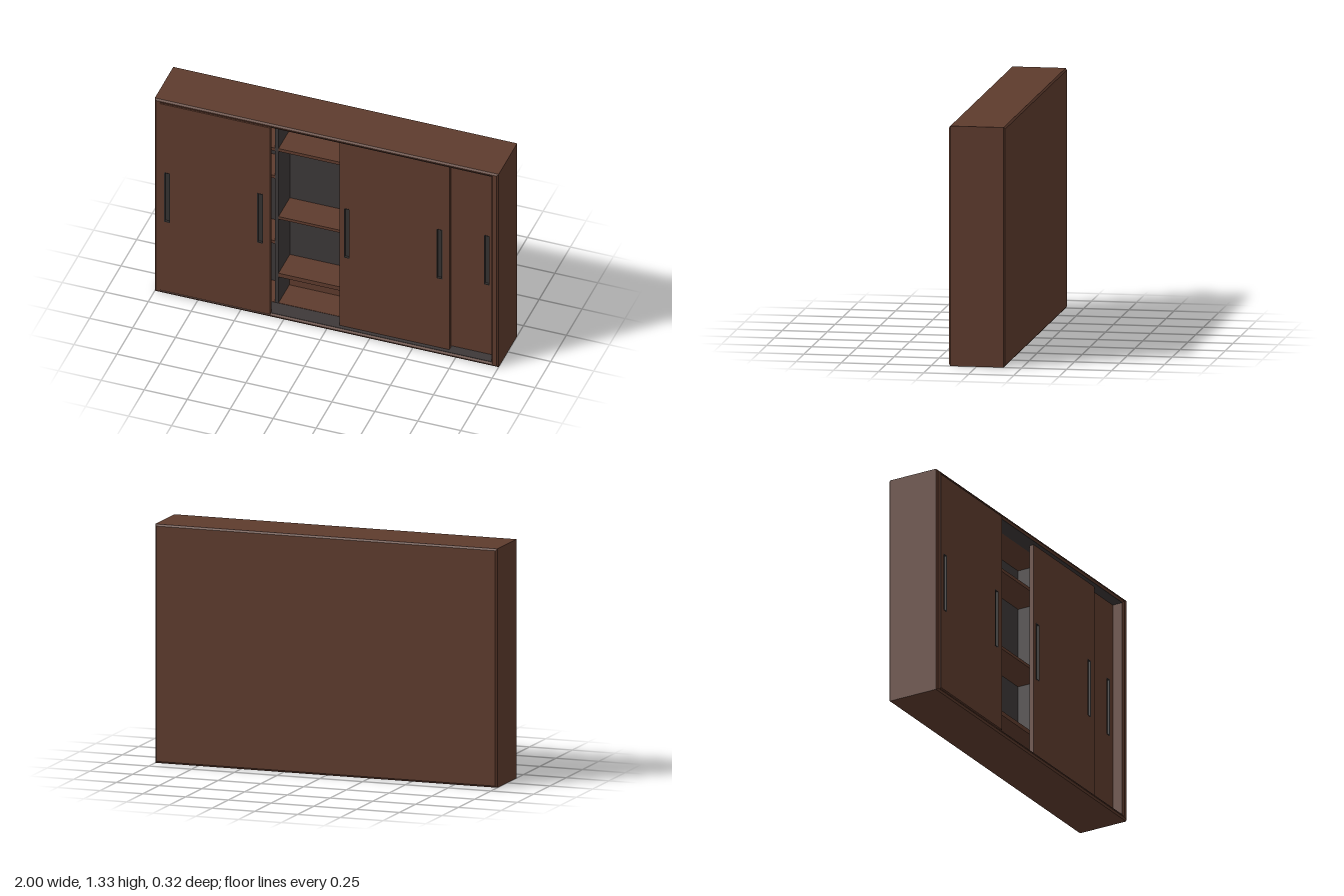
import * as THREE from 'three';

const wood = new THREE.MeshStandardMaterial({ color: 0x5e3b2d });
wood.name = 'brownWood';
const grey = new THREE.MeshStandardMaterial({ color: 0x3d3838 });
grey.name = 'darkGreyLining';
const metal = new THREE.MeshStandardMaterial({ color: 0x353231 });
metal.name = 'handleMetal';

// Box given by its limits on each axis
function box(parent, name, mat, [x0, x1], [y0, y1], [z0, z1]) {
  const mesh = new THREE.Mesh(new THREE.BoxGeometry(x1 - x0, y1 - y0, z1 - z0), mat);
  mesh.position.set((x0 + x1) / 2, (y0 + y1) / 2, (z0 + z1) / 2);
  mesh.name = name;
  parent.add(mesh);
}

function rect(path, x0, x1, y0, y1) {
  path.moveTo(x0, y0);
  path.lineTo(x1, y0);
  path.lineTo(x1, y1);
  path.lineTo(x0, y1);
  path.closePath();
  return path;
}

// Flat panel with rectangular holes, from z0 to z1
function panel(parent, name, mat, outer, holes, z0, z1, bevel = 0) {
  const shape = rect(new THREE.Shape(), ...outer);
  for (const h of holes) shape.holes.push(rect(new THREE.Path(), ...h));
  const geo = new THREE.ExtrudeGeometry(shape, {
    depth: z1 - z0 - 2 * bevel, bevelEnabled: bevel > 0,
    bevelThickness: bevel, bevelSize: 0.01, bevelSegments: 1,
  });
  const mesh = new THREE.Mesh(geo, mat);
  mesh.position.z = z0 + bevel;
  mesh.name = name;
  parent.add(mesh);
}

// Sliding door with two recessed finger pulls
function door(parent, name, x0, x1, zFront) {
  const group = new THREE.Group();
  group.name = name;
  const zBack = zFront - 0.025;
  const pulls = [x0 + 0.043, x1 - 0.058].map(x => [x - 0.017, x + 0.017, 0.5, 0.84]);
  panel(group, 'doorPanel', wood, [x0, x1, 0.022, 1.308], pulls, zBack, zFront);
  for (const [a, b, c, d] of pulls) {
    panel(group, 'handleRim', metal, [a, b, c, d],
      [[a + 0.004, b - 0.004, c + 0.004, d - 0.004]], zBack, zFront + 0.001);
    box(group, 'handleRecess', metal, [a, b], [c, d], [zBack, zFront - 0.012]);
  }
  parent.add(group);
}

export function createModel() {
  const g = new THREE.Group();
  g.name = 'slidingWardrobe';

  // Bevelled outer carcass and its back
  panel(g, 'carcass', wood, [-0.99, 0.99, 0.01, 1.32],
    [[-0.968, 0.968, 0.014, 1.314]], -0.158, 0.153, 0.008);
  box(g, 'backPanel', wood, [-0.968, 0.968], [0.014, 1.314], [-0.158, -0.14]);

  // Dark lining, dividers and door tracks
  box(g, 'backLining', grey, [-0.96, 0.96], [0.02, 1.31], [-0.14, -0.13]);
  for (const x of [-0.325, 0.325]) {
    box(g, 'divider', grey, [x - 0.01, x + 0.01], [0.02, 1.31], [-0.13, 0.05]);
  }
  box(g, 'bottomTrack', grey, [-0.96, 0.96], [0.015, 0.026], [0.05, 0.145]);
  box(g, 'topTrack', grey, [-0.96, 0.96], [1.302, 1.312], [0.05, 0.145]);

  // Shelves of the three bays, as bottom and top heights
  const bays = [
    { x: [-0.958, -0.335], shelves: [[0.43, 0.45], [0.88, 0.9], [1.07, 1.09]] },
    { x: [-0.315, 0.315], shelves: [[0.206, 0.232], [0.605, 0.623], [1.072, 1.092]] },
    { x: [0.335, 0.958], shelves: [[0.43, 0.45], [0.88, 0.9], [1.07, 1.09]] },
  ];
  for (const { x, shelves } of bays) {
    for (const y of shelves) box(g, 'shelf', wood, x, y, [-0.13, 0.05]);
    box(g, 'bayFloor', wood, x, [0.015, 0.028], [-0.13, 0.05]);
  }
  // Wooden backing of the low central compartment
  box(g, 'lowerBacking', wood, [-0.315, 0.315], [0.028, 0.206], [-0.13, -0.122]);

  // Three doors on parallel tracks, from front to rear
  door(g, 'frontDoor', -0.967, -0.325, 0.157);
  door(g, 'middleDoor', 0.065, 0.705, 0.122);
  door(g, 'rearDoor', 0.325, 0.967, 0.085);
  return g;
}
